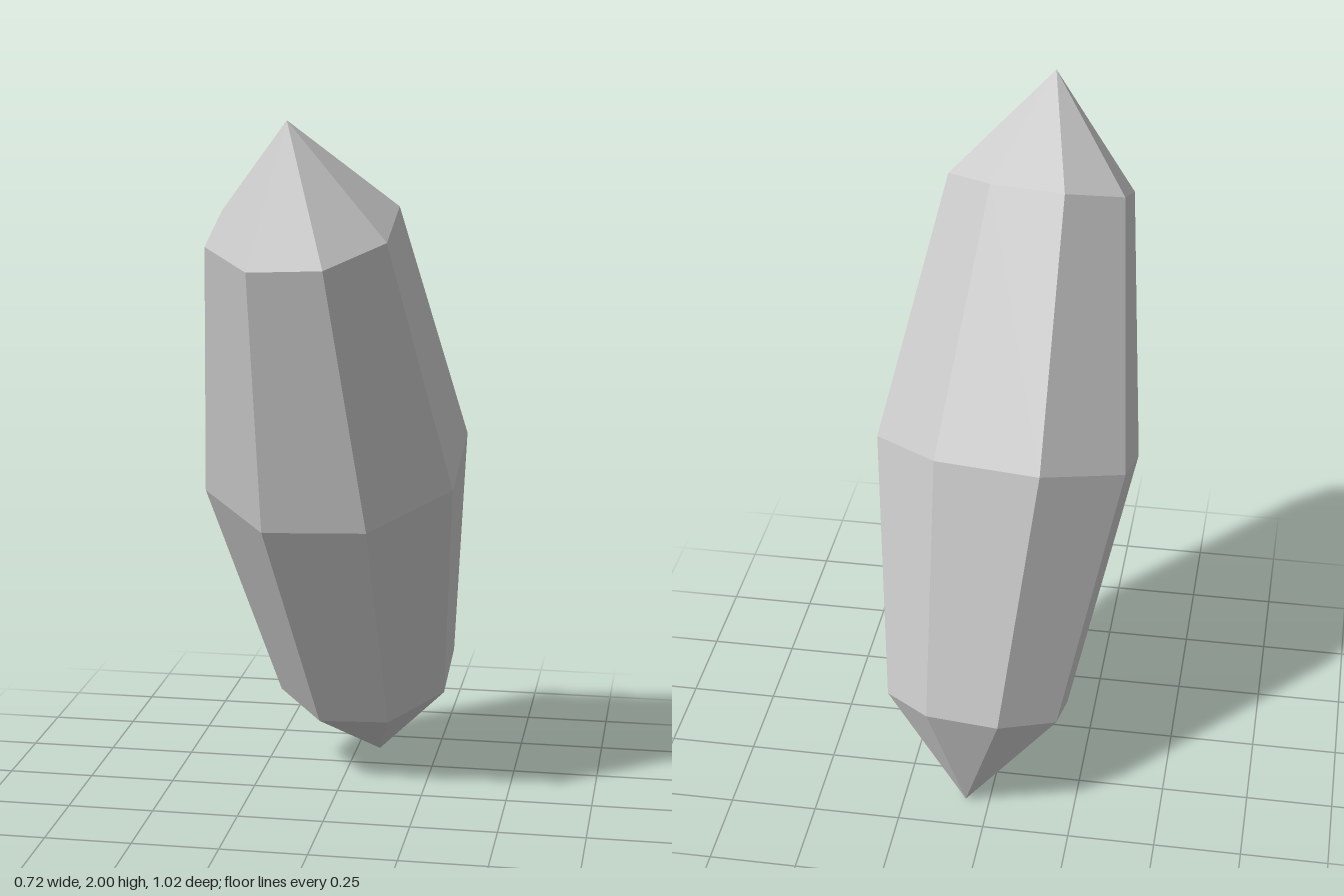
import * as THREE from 'three';

export function createModel() {
  const group = new THREE.Group();
  group.name = 'crystalShard';

  // Eight-sided double-pointed profile, from lower tip to upper tip
  const tip = new THREE.Vector3(-0.07, 1, 0.385);
  const half = tip.length();
  const profile = [
    [0, -half],
    [0.27, -0.707 * half],
    [0.386, 0],
    [0.27, 0.707 * half],
    [0, half],
  ].map(([r, y]) => new THREE.Vector2(r, y));

  const geometry = new THREE.LatheGeometry(profile, 8, THREE.MathUtils.degToRad(20));
  const material = new THREE.MeshStandardMaterial({ color: 0xcccccc, flatShading: true });
  const crystal = new THREE.Mesh(geometry, material);
  crystal.name = 'crystal';

  // Lean the long axis forward and slightly to the side
  crystal.quaternion.setFromUnitVectors(new THREE.Vector3(0, 1, 0), tip.clone().normalize());
  crystal.position.y = 1;
  group.add(crystal);
  return group;
}
